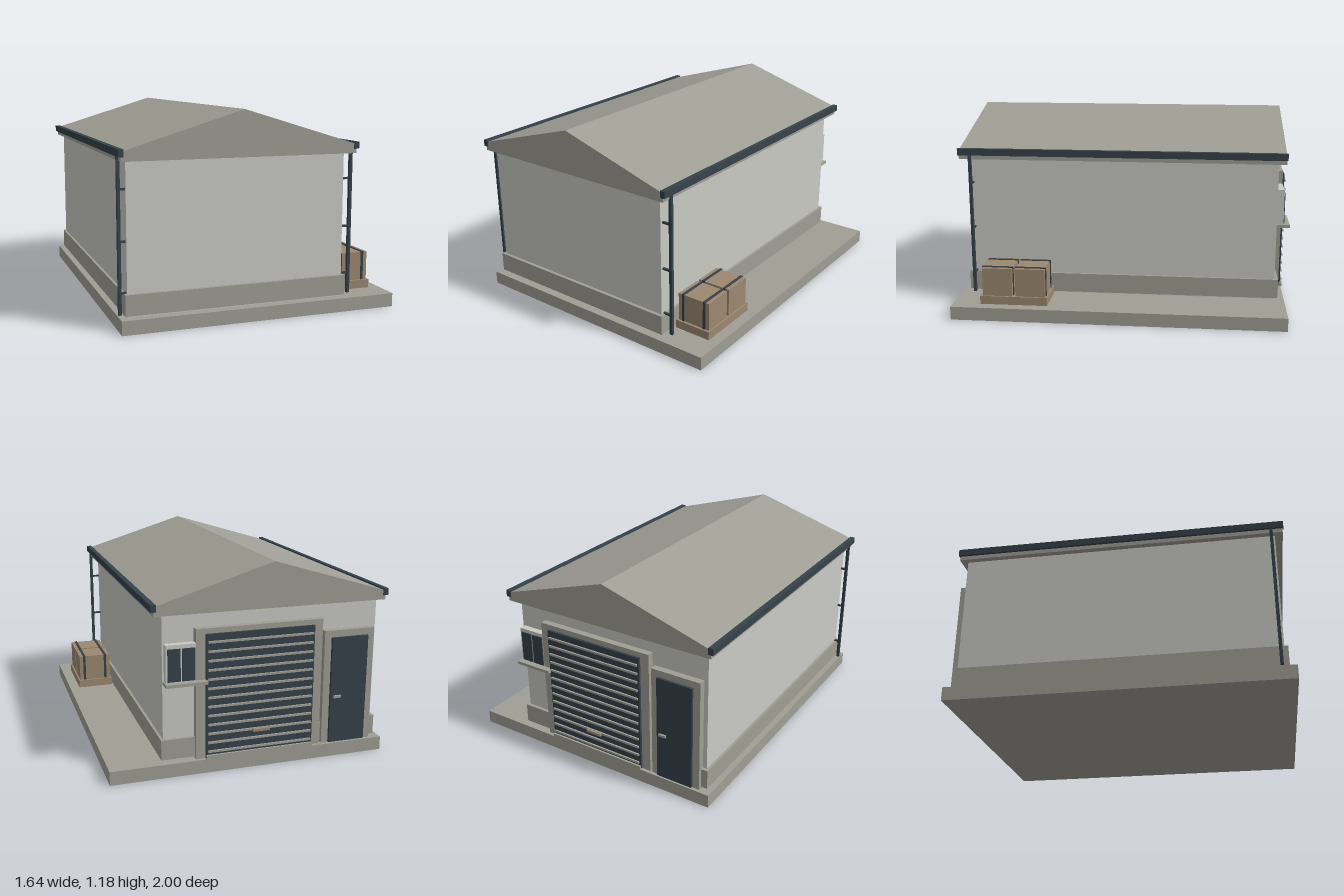
import * as THREE from 'three';

const mat = (name, color) => {
  const m = new THREE.MeshStandardMaterial({ color });
  m.name = name;
  return m;
};

export function createModel() {
  const model = new THREE.Group();
  model.name = 'warehouse';
  const wall = mat('pale wall', 0xcacbc5);
  const stone = mat('warm grey', 0xa09f95);
  const dark = mat('dark slate', 0x36424a);
  const wood = mat('crate wood', 0x9c8870);

  const group = (name) => {
    const g = new THREE.Group();
    g.name = name;
    model.add(g);
    return g;
  };
  // Box given by its extents on each axis
  const box = (name, m, [x0, x1], [y0, y1], [z0, z1], parent = model) => {
    const mesh = new THREE.Mesh(new THREE.BoxGeometry(x1 - x0, y1 - y0, z1 - z0), m);
    mesh.position.set((x0 + x1) / 2, (y0 + y1) / 2, (z0 + z1) / 2);
    mesh.name = name;
    parent.add(mesh);
    return mesh;
  };

  // Ground slab, walls and plinth
  box('slab', stone, [-0.82, 0.82], [0, 0.08], [-0.975, 1]);
  box('walls', wall, [-0.775, 0.505], [0.08, 0.93], [-0.915, 0.94]);
  box('plinth', stone, [-0.79, 0.52], [0.09, 0.207], [-0.935, 0.96]);

  // Gable roof extruded along z
  const gable = new THREE.Shape([
    [-0.81, 0.92], [0.56, 0.92], [0.56, 0.972], [-0.125, 1.18], [-0.81, 0.972],
  ].map(([x, y]) => new THREE.Vector2(x, y)));
  const roof = new THREE.Mesh(new THREE.ExtrudeGeometry(gable, { depth: 1.94, bevelEnabled: false }), stone);
  roof.position.z = -0.955;
  roof.name = 'roof';
  model.add(roof);

  // Gutters, downpipes and wall brackets, mirrored about the ridge
  const ridge = -0.125;
  for (const s of [-1, 1]) {
    const drain = group(s < 0 ? 'rightDrainage' : 'leftDrainage');
    const span = (a, b) => (s > 0 ? [ridge + a, ridge + b] : [ridge - b, ridge - a]);
    box('gutter', dark, span(0.67, 0.7), [0.945, 0.985], [-0.96, 0.99], drain);
    box('downpipe', dark, span(0.677, 0.695), [0.09, 0.95], [0.91, 0.928], drain);
    for (const y of [0.21, 0.49, 0.77])
      box('bracket', dark, span(0.625, 0.68), [y - 0.006, y + 0.006], [0.913, 0.925], drain);
  }

  // Roller door with frame, slats, threshold and pull handle
  const roller = group('rollerDoor');
  for (const x of [-0.425, 0.27])
    box('jamb', stone, [x, x + 0.055], [0.08, 0.835], [-0.955, -0.9], roller);
  box('header', stone, [-0.37, 0.27], [0.76, 0.835], [-0.955, -0.9], roller);
  box('curtain', dark, [-0.37, 0.27], [0.085, 0.805], [-0.97, -0.9], roller);
  for (let i = 0; i < 13; i++) {
    const y = 0.125 + i * 0.053;
    box('slat', stone, [-0.36, 0.26], [y - 0.006, y + 0.006], [-0.98, -0.965], roller);
  }
  box('threshold', stone, [-0.37, 0.27], [0.08, 0.105], [-0.982, -0.95], roller);
  box('pullHandle', wood, [-0.1, 0], [0.22, 0.235], [-0.995, -0.965], roller);

  // Side door with surround and lever
  const door = group('sideDoor');
  box('surround', stone, [-0.75, -0.44], [0.08, 0.76], [-0.955, -0.9], door);
  box('leaf', dark, [-0.707, -0.482], [0.085, 0.72], [-0.97, -0.95], door);
  box('lever', stone, [-0.545, -0.5], [0.36, 0.374], [-0.982, -0.965], door);

  // Twin window with sill
  const win = group('window');
  box('frame', wall, [0.325, 0.495], [0.54, 0.757], [-0.955, -0.9], win);
  for (const x of [0.33, 0.412])
    box('pane', dark, [x, x + 0.073], [0.55, 0.735], [-0.96, -0.953], win);
  box('sill', stone, [0.265, 0.503], [0.528, 0.546], [-0.992, -0.9], win);

  // Strapped crates on a pallet
  const cargo = group('cargo');
  box('pallet', wood, [0.525, 0.755], [0.08, 0.13], [0.432, 0.835], cargo);
  for (const z of [0.445, 0.642]) {
    box('crate', wood, [0.535, 0.745], [0.13, 0.3], [z, z + 0.178], cargo);
    for (const x of [0.56, 0.705])
      box('strap', dark, [x, x + 0.016], [0.13, 0.304], [z - 0.004, z + 0.182], cargo);
  }
  return model;
}
